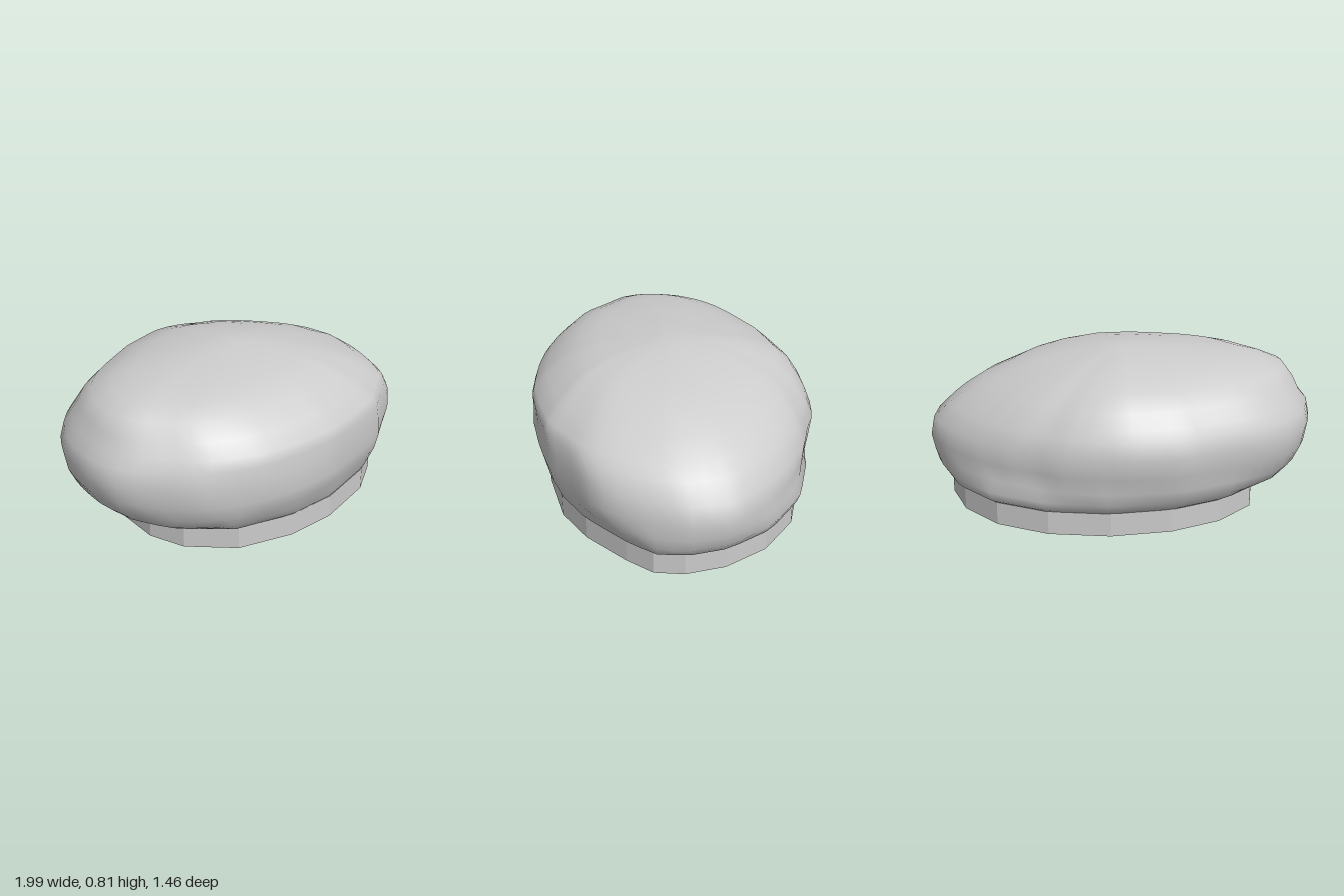
import * as THREE from 'three';

// Widest plan outline of the boulder, (x, z) pairs running from +x towards +z
const PLAN = [1, 0, 0.99, 0.2, 0.89, 0.36, 0.77, 0.5, 0.66, 0.58, 0.5, 0.64, 0.32, 0.71, 0.08, 0.72, -0.15, 0.72,
  -0.35, 0.67, -0.56, 0.59, -0.7, 0.5, -0.8, 0.42, -0.9, 0.24, -0.98, 0.1, -1, -0.05, -0.96, -0.22, -0.9, -0.35,
  -0.78, -0.48, -0.65, -0.56, -0.5, -0.62, -0.25, -0.71, 0.05, -0.73, 0.2, -0.71, 0.35, -0.66, 0.45, -0.59,
  0.6, -0.52, 0.75, -0.4, 0.87, -0.25, 0.96, -0.1];

// Plan outline of the flat foot
const FOOT = [0.9, -0.02, 0.9, 0.18, 0.85, 0.32, 0.73, 0.42, 0.5, 0.57, 0.28, 0.65, -0.05, 0.66, -0.3, 0.6, -0.55, 0.46,
  -0.7, 0.24, -0.73, 0.05, -0.64, -0.33, -0.45, -0.5, -0.2, -0.6, 0.1, -0.63, 0.4, -0.58, 0.65, -0.45, 0.82, -0.25];

// Body levels: y, then reach towards +x, -x, +z, -z
const LEVELS = [
  [0.11, 0.89, 0.72, 0.65, 0.62],
  [0.13, 0.93, 0.78, 0.665, 0.645],
  [0.18, 0.97, 0.88, 0.68, 0.685],
  [0.24, 0.985, 0.94, 0.705, 0.695],
  [0.32, 1, 0.98, 0.725, 0.71],
  [0.42, 0.985, 1, 0.715, 0.73],
  [0.5, 0.89, 0.975, 0.72, 0.705],
  [0.55, 0.825, 0.93, 0.705, 0.68],
  [0.62, 0.72, 0.9, 0.635, 0.63],
  [0.69, 0.56, 0.85, 0.54, 0.55],
  [0.73, 0.43, 0.75, 0.46, 0.44],
  [0.76, 0.31, 0.62, 0.37, 0.36],
  [0.785, 0.19, 0.4, 0.22, 0.22],
  [0.8, 0.08, 0.17, 0.09, 0.1],
];
const COLUMNS = 72;

// Point where a ray at angle a meets a polygon outline
function rayHit(outline, a) {
  const c = Math.cos(a), s = Math.sin(a), n = outline.length;
  for (let i = 0; i < n; i += 2) {
    const x0 = outline[i], z0 = outline[i + 1];
    const dx = outline[(i + 2) % n] - x0, dz = outline[(i + 3) % n] - z0;
    const det = c * dz - s * dx;
    const r = (x0 * dz - z0 * dx) / det;
    const t = (x0 * s - z0 * c) / det;
    if (r > 0 && t >= -1e-6 && t <= 1 + 1e-6) return [r * c, r * s];
  }
  return [c, s];
}

// Scale an outline point so each of its four reaches is one
function unitPoint(outline, reach, a) {
  const [x, z] = rayHit(outline, a);
  return [x / (x > 0 ? reach[0] : reach[1]), z / (z > 0 ? reach[2] : reach[3])];
}

function bodyGeometry() {
  const positions = [], index = [];
  LEVELS.forEach(([y, right, left, front, back]) => {
    const blend = THREE.MathUtils.smoothstep(y, 0.11, 0.3);
    for (let j = 0; j < COLUMNS; j++) {
      const a = (j / COLUMNS) * Math.PI * 2;
      const low = unitPoint(FOOT, [0.9, 0.73, 0.66, 0.63], a);
      const high = unitPoint(PLAN, [1, 1, 0.72, 0.73], a);
      const u = THREE.MathUtils.lerp(low[0], high[0], blend);
      const v = THREE.MathUtils.lerp(low[1], high[1], blend);
      // Gentle weathering
      const wear = 1 + 0.008 * blend * Math.sin(5 * a + 9 * y) * Math.sin(3 * a - 14 * y);
      positions.push(u * (u > 0 ? right : left) * wear, y, v * (v > 0 ? front : back) * wear);
    }
  });
  const top = positions.length / 3, last = LEVELS.length - 1;
  positions.push(-0.03, 0.807, 0);
  for (let j = 0; j < COLUMNS; j++) {
    const k = (j + 1) % COLUMNS;
    for (let i = 0; i < last; i++) {
      const p = i * COLUMNS, q = p + COLUMNS;
      index.push(p + j, q + j, q + k, p + j, q + k, p + k);
    }
    index.push(last * COLUMNS + j, top, last * COLUMNS + k);
  }
  const geometry = new THREE.BufferGeometry();
  geometry.setAttribute('position', new THREE.Float32BufferAttribute(positions, 3));
  geometry.setIndex(index);
  geometry.computeVertexNormals();
  return geometry;
}

function footGeometry() {
  const points = [];
  for (let i = 0; i < FOOT.length; i += 2) points.push(new THREE.Vector2(FOOT[i], -FOOT[i + 1]));
  const geometry = new THREE.ExtrudeGeometry(new THREE.Shape(points), { depth: 0.12, bevelEnabled: false });
  return geometry.rotateX(-Math.PI / 2);
}

export function createModel() {
  const stone = new THREE.MeshStandardMaterial({ color: 0xcccccc });
  const group = new THREE.Group();
  group.name = 'boulder';
  const body = new THREE.Mesh(bodyGeometry(), stone);
  body.name = 'boulderBody';
  const foot = new THREE.Mesh(footGeometry(), stone);
  foot.name = 'flatFoot';
  group.add(body, foot);
  return group;
}
